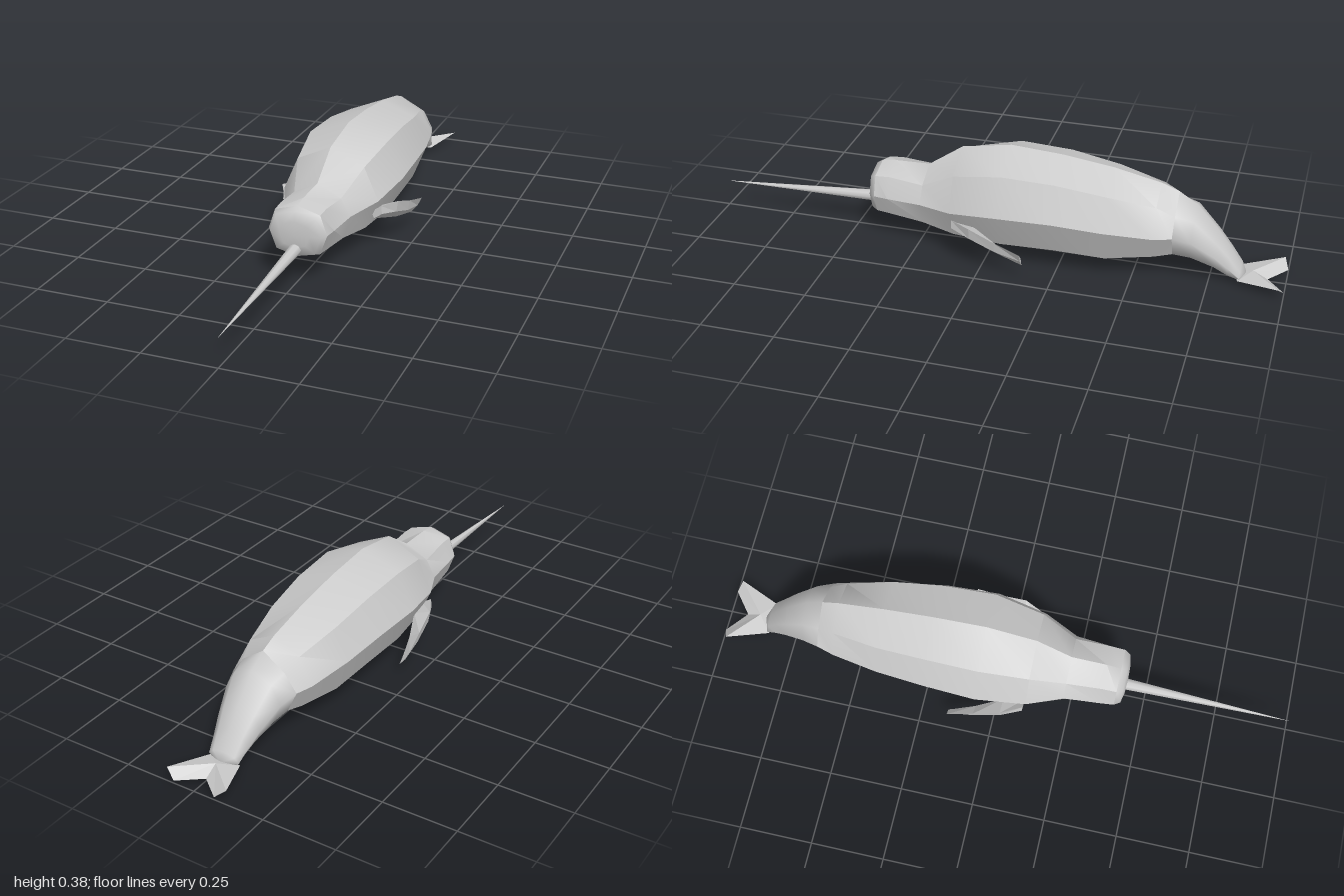
import * as THREE from 'three';
import { toCreasedNormals } from 'three/addons/utils/BufferGeometryUtils.js';

const material = new THREE.MeshStandardMaterial({ color: 0xcccccc });
const flatMaterial = new THREE.MeshStandardMaterial({ color: 0xcccccc, flatShading: true });

// Skin rings of [x, y, z] points, with an optional centre point closing either end.
function loft(rings, firstCentre, lastCentre) {
  const n = rings[0].length;
  const points = rings.flat();
  const index = [];
  for (let i = 0; i < rings.length - 1; i++) {
    for (let j = 0; j < n; j++) {
      const a = i * n + j, b = i * n + (j + 1) % n;
      index.push(a, a + n, b, b, a + n, b + n);
    }
  }
  const close = (centre, start, flip) => {
    const c = points.push(centre) - 1;
    for (let j = 0; j < n; j++) {
      const a = start + j, b = start + (j + 1) % n;
      index.push(c, flip ? b : a, flip ? a : b);
    }
  };
  if (firstCentre) close(firstCentre, 0, false);
  if (lastCentre) close(lastCentre, (rings.length - 1) * n, true);
  const geometry = new THREE.BufferGeometry();
  geometry.setAttribute('position', new THREE.Float32BufferAttribute(points.flat(), 3));
  geometry.setIndex(index);
  geometry.computeVertexNormals();
  return geometry;
}

// Symmetric eight-sided section: back, shoulder, flank, lower flank, belly.
function section([z, top, sx, sy, fx, fy, lx, ly, bottom]) {
  return [
    [0, bottom, z], [lx, ly, z], [fx, fy, z], [sx, sy, z],
    [0, top, z], [-sx, sy, z], [-fx, fy, z], [-lx, ly, z],
  ];
}

export function createModel() {
  const group = new THREE.Group();
  const add = (name, geometry, mat = material) => {
    const mesh = new THREE.Mesh(geometry, mat);
    mesh.name = name;
    group.add(mesh);
    return mesh;
  };

  // Body, from head to the start of the tail
  const headEnd = [0.40, 0.265, 0.077, 0.242, 0.1, 0.175, 0.075, 0.108, 0.09];
  const tailStart = [-0.63, 0.295, 0.078, 0.24, 0.12, 0.18, 0.085, 0.105, 0.083];
  const body = [
    headEnd,
    [0.35, 0.272, 0.078, 0.245, 0.105, 0.174, 0.08, 0.105, 0.085],
    [0.23, 0.275, 0.082, 0.233, 0.115, 0.174, 0.09, 0.095, 0.065],
    [0.11, 0.358, 0.118, 0.302, 0.168, 0.188, 0.122, 0.085, 0.032],
    [-0.06, 0.387, 0.14, 0.335, 0.196, 0.209, 0.14, 0.083, 0.03],
    [-0.24, 0.375, 0.135, 0.328, 0.187, 0.208, 0.135, 0.085, 0.05],
    [-0.41, 0.352, 0.122, 0.303, 0.168, 0.192, 0.12, 0.073, 0.025],
    [-0.57, 0.318, 0.093, 0.272, 0.137, 0.178, 0.098, 0.093, 0.06],
    tailStart,
  ].map(section);
  add('body', toCreasedNormals(loft(body), 0.66));

  // Smooth rounded face
  const rim = section(headEnd);
  const faceRing = (k, z) => rim.map(([x, y]) => [x * k, 0.175 + (y - 0.175) * k, z]);
  add('face', loft([faceRing(0.5, 0.428), faceRing(0.87, 0.42), rim], [0, 0.172, 0.43]));

  // Smooth tail stalk, curving down to the flukes
  const tail = [
    tailStart,
    [-0.69, 0.257, 0.07, 0.225, 0.103, 0.163, 0.075, 0.095, 0.073],
    [-0.765, 0.175, 0.056, 0.15, 0.08, 0.11, 0.056, 0.06, 0.045],
    [-0.81, 0.115, 0.046, 0.098, 0.066, 0.068, 0.045, 0.03, 0.017],
    [-0.85, 0.052, 0.04, 0.044, 0.056, 0.03, 0.04, 0.015, 0.01],
  ].map(section);
  add('tailStalk', loft(tail, null, [0, 0.025, -0.87]));

  // Notched tail flukes with raised outer tips
  const half = [[0.056, 0.02, -0.845], [0.11, 0.04, -0.985], [0.075, 0.012, -1]];
  const mirrored = half.map(([x, y, z]) => [-x, y, z]).reverse();
  const outline = [[0, 0.015, -0.83], ...half, [0, 0.01, -0.94], ...mirrored];
  add('tailFlukes', loft([outline], [0, 0.036, -0.89], [0, 0.003, -0.88]), flatMaterial);

  // Flippers: thin four-sided blades swept backwards
  const blade = [
    [0.1, [0.15, 0.12], [0.178, 0.14], [0.175, 0.168], [0.14, 0.145]],
    [0.03, [0.145, 0.092], [0.205, 0.125], [0.21, 0.164], [0.15, 0.14]],
    [-0.06, [0.175, 0.065], [0.216, 0.095], [0.222, 0.132], [0.185, 0.105]],
    [-0.15, [0.2, 0.05], [0.222, 0.077], [0.237, 0.108], [0.212, 0.083]],
  ].map(([z, ...corners]) => corners.map(([x, y]) => [x, y, z]));
  const flipperGeometry = loft(blade, [0.16, 0.143, 0.1], [0.218, 0.08, -0.15]);
  add('leftFlipper', flipperGeometry, flatMaterial);
  add('rightFlipper', flipperGeometry, flatMaterial).scale.x = -1;

  // Long tapering tusk
  const root = new THREE.Vector3(0, 0.124, 0.41);
  const tip = new THREE.Vector3(0, 0.099, 1);
  const direction = tip.clone().sub(root);
  const tusk = add('tusk', new THREE.ConeGeometry(0.021, direction.length(), 8));
  tusk.position.copy(root).lerp(tip, 0.5);
  tusk.quaternion.setFromUnitVectors(new THREE.Vector3(0, 1, 0), direction.normalize());

  return group;
}
